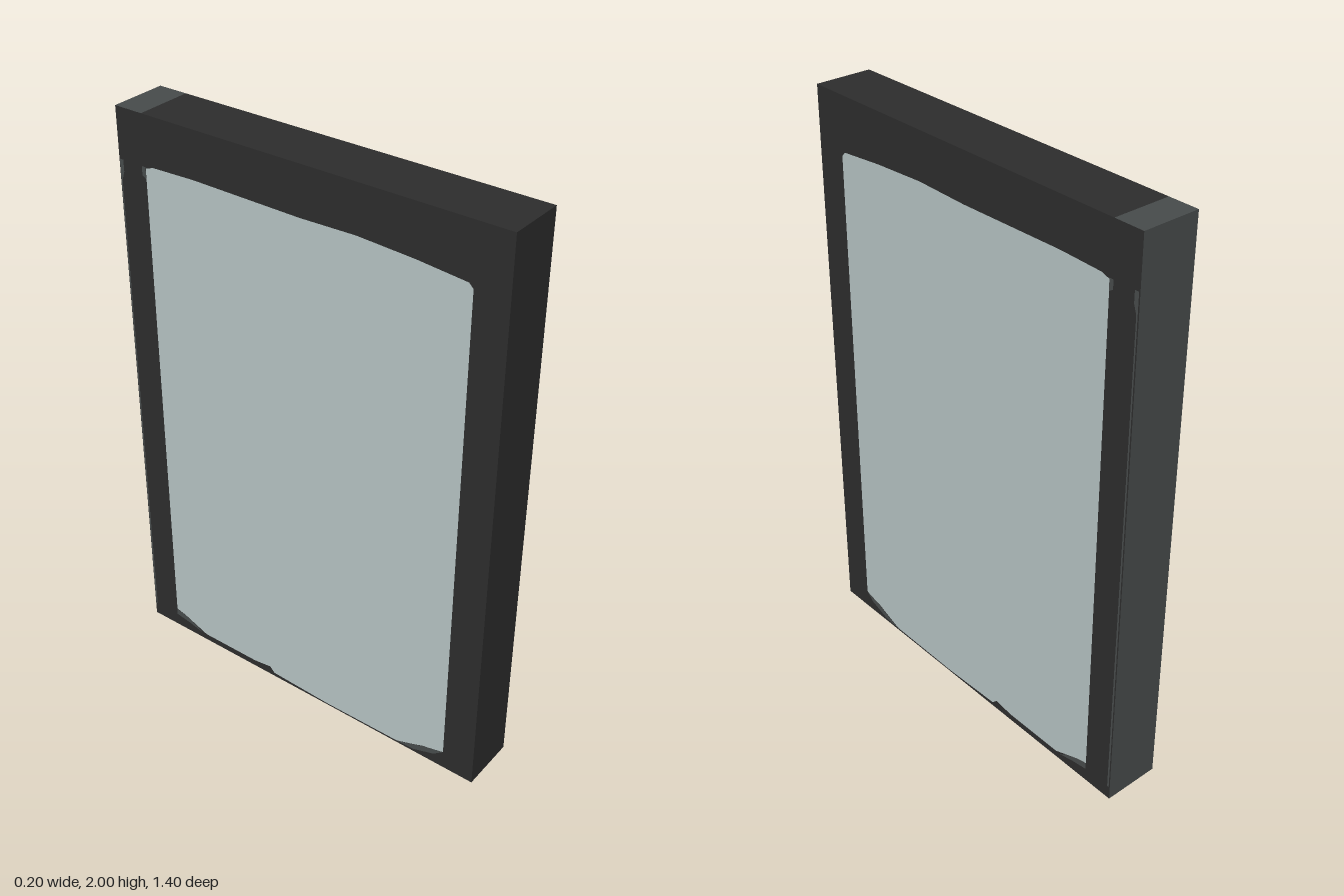
import * as THREE from 'three';

const D = 0.1, H = 2, FRONT = 0.7, SPLIT = -0.595, BACK = -0.7;

const mat = (name, color) => {
  const m = new THREE.MeshStandardMaterial({ color });
  m.name = name;
  return m;
};

export function createModel() {
  const group = new THREE.Group();
  group.name = 'framedPanel';
  const dark = mat('darkFrame', 0x2d2d2d);
  const grey = mat('greyBack', 0x474b4b);
  const glass = mat('paleGlass', 0xb5c2c2);

  const slab = (name, z0, z1, material) => {
    const m = new THREE.Mesh(new THREE.BoxGeometry(D * 2, H, z1 - z0), material);
    m.position.set(0, H / 2, (z0 + z1) / 2);
    m.name = name;
    group.add(m);
  };

  // Thin painted face on the side s (+1 or -1), outlined by [z, y] points
  const sidePlate = (name, s, points, material, lift) => {
    const shape = new THREE.Shape(points.map(([z, y]) => new THREE.Vector2(-s * z, y)));
    const m = new THREE.Mesh(new THREE.ShapeGeometry(shape), material);
    m.rotation.y = s * Math.PI / 2;
    m.position.x = s * (D + lift);
    m.name = name;
    group.add(m);
  };

  // Frame body, with a lighter back edge that keeps dark sides
  slab('frame', SPLIT, FRONT, dark);
  slab('backEdge', BACK, SPLIT, [dark, dark, grey, grey, dark, grey]);

  // Glass outline: slightly arched top and worn lower edge
  const pane = [
    [0.585, 0.07], [0.56, 0.055], [0.51, 0.05], [0.46, 0.03], [0.4, 0.008],
    [0.1, 0.006], [-0.13, 0.015], [-0.15, 0.035], [-0.22, 0.025], [-0.45, 0.025],
    [-0.5, 0.045], [-0.55, 0.065], [-0.59, 0.075],
    [-0.59, 1.825], [-0.56, 1.835], [-0.4, 1.84], [0, 1.835], [0.2, 1.84],
    [0.4, 1.83], [0.57, 1.815], [0.585, 1.8],
  ];
  // Worn patches around the lower corners and along the back edge
  const patches = [
    [[0.585, 0.07], [0.55, 0.04], [0.47, 0.012], [0.4, 0.008], [0.46, 0.03], [0.51, 0.05]],
    [[-0.47, 0.025], [-0.53, 0.04], [-0.59, 0.05], [-0.59, 0.075], [-0.55, 0.065], [-0.5, 0.045]],
    [[-0.69, 0.05], [-0.697, 0.05], [-0.697, 1.83], [-0.682, 1.83], [-0.682, 1.79], [-0.692, 1.76]],
    [[-0.59, 1.79], [-0.605, 1.8], [-0.605, 1.83], [-0.59, 1.83]],
  ];
  for (const s of [1, -1]) {
    sidePlate(s > 0 ? 'leftGlass' : 'rightGlass', s, pane, glass, 0.001);
    patches.forEach((p) => sidePlate('wornPatch', s, p, grey, 0.002));
  }
  return group;
}
